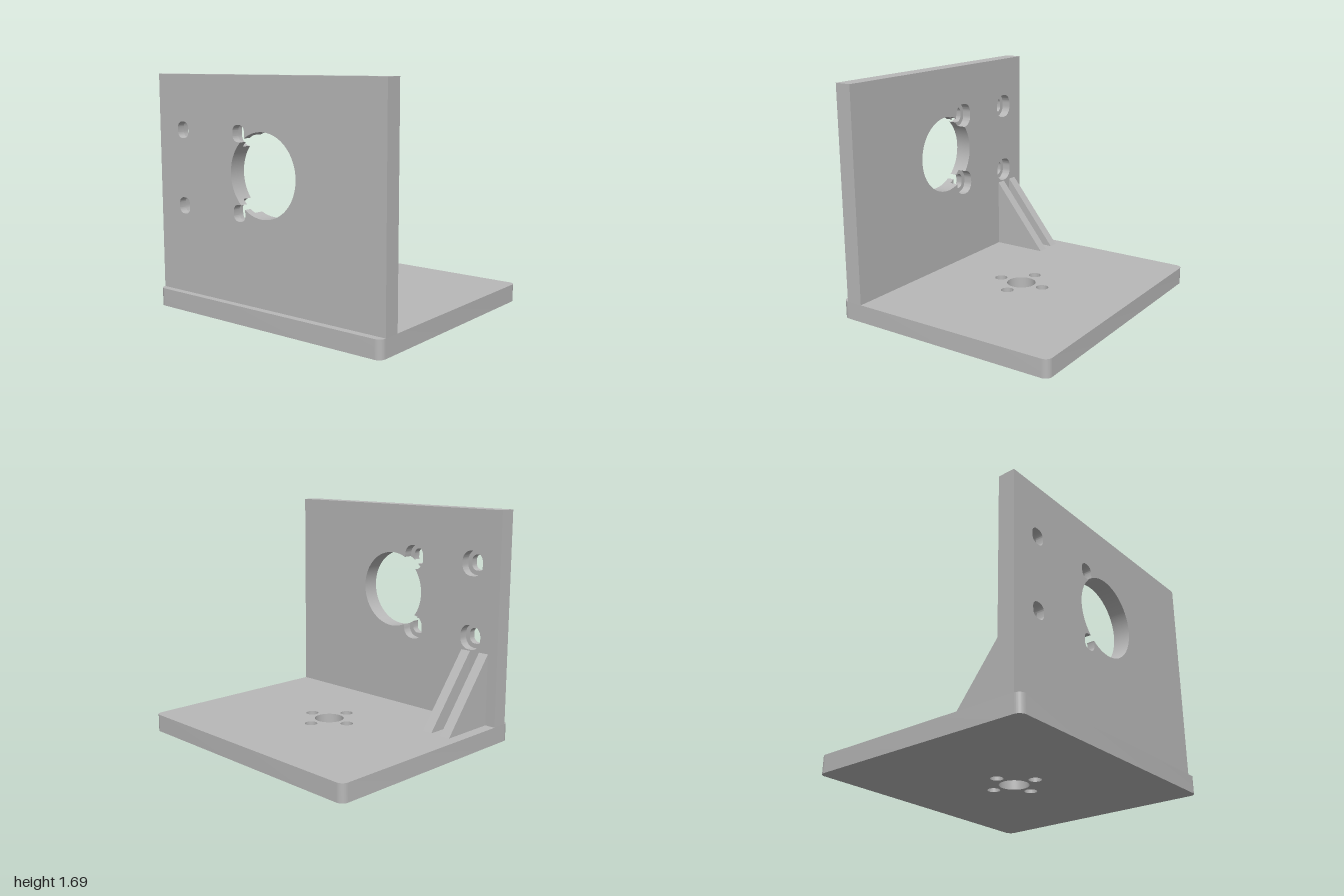
import * as THREE from 'three';
import { toCreasedNormals } from 'three/addons/utils/BufferGeometryUtils.js';

const BASE_TOP = 0.13, WALL_TOP = 1.69;
const WALL_BACK = -0.815, WALL_STEP = -0.76, WALL_FRONT = -0.69;
const BORE = { x: 0, y: 1.03, r: 0.29 };

const arc = (cx, cy, r, from, to, n) => Array.from({ length: n }, (_, i) => {
  const a = from + (to - from) * i / (n - 1);
  return new THREE.Vector2(cx + r * Math.cos(a), cy + r * Math.sin(a));
});

// Counter-clockwise rounded rectangle
function roundedRect(cx, cy, w, h, r, n = 14) {
  const signs = [[1, 1], [-1, 1], [-1, -1], [1, -1]];
  return signs.flatMap(([sx, sy], i) =>
    arc(cx + sx * (w / 2 - r), cy + sy * (h / 2 - r), r, i * Math.PI / 2, (i + 1) * Math.PI / 2, n));
}

function inside(p, poly) {
  let hit = false;
  poly.forEach((a, i) => {
    const b = poly[(i + 1) % poly.length];
    if ((a.y > p.y) !== (b.y > p.y) && p.x < a.x + (p.y - a.y) * (b.x - a.x) / (b.y - a.y)) hit = !hit;
  });
  return hit;
}

// One outline for the large bore joined with the slots that break into it
function joinedBore(slots) {
  const outsideBore = p => Math.hypot(p.x - BORE.x, p.y - BORE.y) > BORE.r;
  const outline = [];
  let current = null;
  // Start on the side away from the slots
  for (const p of arc(BORE.x, BORE.y, BORE.r, -Math.PI, Math.PI, 361).slice(0, -1)) {
    const slot = slots.find(s => inside(p, s)) || null;
    if (slot && slot !== current) {
      const n = slot.length;
      const start = slot.findIndex((q, i) => outsideBore(q) && !outsideBore(slot[(i + n - 1) % n]));
      for (let i = 0; i < n; i++) {
        const q = slot[(start + i) % n];
        if (!outsideBore(q)) break;
        outline.push(q);
      }
    }
    if (!slot) outline.push(p);
    current = slot;
  }
  return outline;
}

function extrude(outline, holes, depth) {
  const shape = new THREE.Shape(outline);
  shape.holes = holes.map(h => new THREE.Path(h));
  return new THREE.ExtrudeGeometry(shape, { depth, bevelEnabled: false });
}

// Wall layer lying in the z-y plane, with slots of the given size
function wallLayer(w, h, r, depth) {
  const at = (x, y) => roundedRect(x, y, w, h, r);
  const holes = [
    joinedBore([at(0.215, 0.76), at(0.215, 1.3)]),
    at(0.76, 0.76), at(0.76, 1.3),
  ];
  const outline = [[-1, BASE_TOP], [1, BASE_TOP], [1, WALL_TOP], [-1, WALL_TOP]]
    .map(([x, y]) => new THREE.Vector2(x, y));
  return extrude(outline, holes, depth).rotateY(Math.PI / 2);
}

export function createModel() {
  const model = new THREE.Group();
  model.name = 'mountingBracket';
  const grey = new THREE.MeshStandardMaterial({ color: 0xb8b8b8 });
  grey.name = 'grey';

  const add = (name, geometry, x = 0, y = 0, z = 0) => {
    const mesh = new THREE.Mesh(toCreasedNormals(geometry, 0.5), grey);
    mesh.name = name;
    mesh.position.set(x, y, z);
    model.add(mesh);
  };

  // Base plate with a centre hole and four screw holes
  const circle = (x, y, r) => arc(x, y, r, 0, Math.PI * 2, 49).slice(0, -1);
  const baseHoles = [circle(0, 0, 0.107)];
  for (let i = 0; i < 4; i++) {
    const a = i * Math.PI / 2;
    baseHoles.push(circle(0.185 * Math.cos(a), 0.185 * Math.sin(a), 0.046));
  }
  add('basePlate', extrude(roundedRect(0, 0, 1.73, 2, 0.05), baseHoles, BASE_TOP).rotateX(-Math.PI / 2));

  // Upright wall: narrow slots at the back, wider recesses at the front
  add('wallBack', wallLayer(0.108, 0.116, 0.045, WALL_STEP - WALL_BACK), WALL_BACK);
  add('wallFront', wallLayer(0.178, 0.183, 0.078, WALL_FRONT - WALL_STEP), WALL_STEP);

  // Pair of triangular ribs
  const rib = [[WALL_FRONT, BASE_TOP], [-0.265, BASE_TOP], [WALL_FRONT, 0.66]]
    .map(([x, y]) => new THREE.Vector2(x, y));
  for (const z of [-0.92, -0.762]) add('supportRib', extrude(rib, [], 0.078), 0, 0, z);

  return model;
}
